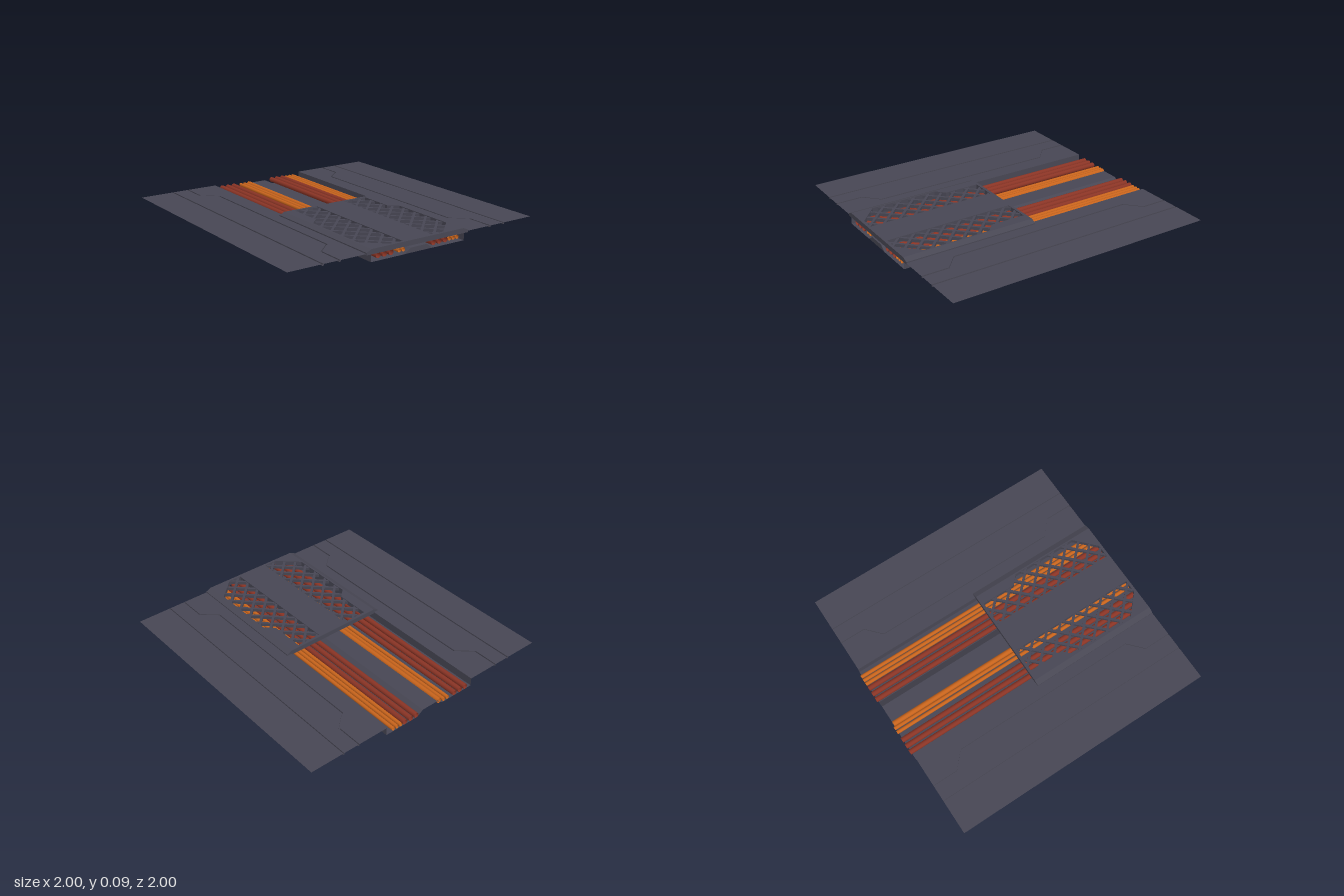
import * as THREE from 'three';

const PLATE_Y = 0.06, FLOOR_X = 0.385, COVER_TOP = 0.085;

// Skins a list of equally long point rows into a flat-faceted sheet
function loft(rows) {
  const pos = [];
  for (let j = 0; j < rows.length - 1; j++) {
    for (let i = 0; i < rows[j].length - 1; i++) {
      const a = rows[j][i], b = rows[j][i + 1], c = rows[j + 1][i], d = rows[j + 1][i + 1];
      pos.push(...a, ...c, ...b, ...b, ...c, ...d);
    }
  }
  const geo = new THREE.BufferGeometry();
  geo.setAttribute('position', new THREE.Float32BufferAttribute(pos, 3));
  geo.computeVertexNormals();
  return geo;
}

// Floor cross-section at z: centre ridge, sunken channel, plate with two grooves
function floorRow(z, grooveX, depth) {
  const half = [[0.065, 0.035], [0.115, 0], [FLOOR_X, 0], [FLOOR_X, PLATE_Y]];
  for (const g of [grooveX, 0.745]) {
    half.push([g - 0.006, PLATE_Y], [g - 0.006, PLATE_Y - depth],
      [g + 0.006, PLATE_Y - depth], [g + 0.006, PLATE_Y]);
  }
  half.push([1, PLATE_Y]);
  const left = half.map(([x, y]) => [x, y, z]);
  const right = half.map(([x, y]) => [-x, y, z]).reverse();
  return [...right, ...left];
}

// Window outline in the cover; s is the side (+1 or -1)
function windowPoints(s) {
  return [[0.12, 0.02], [0.305, 0.02], [0.305, 0.28], [0.37, 0.34], [0.37, 0.84], [0.22, 0.98], [0.12, 0.98]]
    .map(([x, z]) => new THREE.Vector2(s * x, -z));
}

export function createModel() {
  const model = new THREE.Group();
  const grey = new THREE.MeshStandardMaterial({ color: 0x474653, side: THREE.DoubleSide });
  grey.name = 'slate grey';
  const red = new THREE.MeshStandardMaterial({ color: 0x8a3425, side: THREE.DoubleSide });
  red.name = 'rust red';
  const orange = new THREE.MeshStandardMaterial({ color: 0xc8641c, side: THREE.DoubleSide });
  orange.name = 'orange';

  const add = (name, geo, mat, parent = model) => {
    const mesh = new THREE.Mesh(geo, mat);
    mesh.name = name;
    parent.add(mesh);
    return mesh;
  };

  // Floor sheet with channels and jogged grooves
  const stations = [
    [-0.99, 0.62, 0], [-0.99, 0.62, 0.01], [-0.8, 0.62, 0.01], [-0.7, 0.51, 0.01],
    [0.7, 0.51, 0.01], [0.8, 0.62, 0.01], [1, 0.62, 0.01], [1, 0.62, 0],
  ];
  add('floorPanel', loft(stations.map((s) => floorRow(...s))), grey);

  // Front end of the centre ridge
  const ridge = new THREE.Shape([[-0.115, 0], [0.115, 0], [0.065, 0.035], [-0.065, 0.035]]
    .map((p) => new THREE.Vector2(...p)));
  add('ridgeEnd', new THREE.ShapeGeometry(ridge), grey).position.z = 0.999;

  // Open pipes lying in the channels: x, radius, front end, back end
  const pipes = new THREE.Group();
  pipes.name = 'pipes';
  model.add(pipes);
  const pipe = (name, mat, x, r, front = 0.99, back = -1) => {
    const geo = new THREE.CylinderGeometry(r, r, front - back, 10, 1, true);
    geo.rotateX(Math.PI / 2);
    add(name, geo, mat, pipes).position.set(x, 0.03, (front + back) / 2);
  };
  for (const x of [-0.32, -0.27, -0.218, 0.132, 0.181, 0.232]) pipe('redPipe', red, x, 0.019);
  for (const x of [-0.152, -0.118, 0.27, 0.302, 0.334]) pipe('orangePipe', orange, x, 0.0135);
  pipe('innerOrangePipe', orange, -0.084, 0.019, 0.57, -0.99);

  // Raised cover with two windows and chamfered sides
  const outline = new THREE.Shape([[-0.42, -1], [0.42, -1], [0.42, 0], [-0.42, 0]]
    .map((p) => new THREE.Vector2(...p)));
  for (const s of [-1, 1]) outline.holes.push(new THREE.Path(windowPoints(s)));
  const cover = new THREE.ExtrudeGeometry(outline, { depth: COVER_TOP - 0.05, steps: 2, bevelEnabled: false });
  cover.rotateX(-Math.PI / 2).translate(0, 0.05, 0);
  const p = cover.attributes.position;
  for (let i = 0; i < p.count; i++) {
    if (Math.abs(p.getX(i)) > 0.41 && p.getY(i) > 0.08) p.setX(i, Math.sign(p.getX(i)) * 0.38);
  }
  cover.computeVertexNormals();
  add('cover', cover, grey);

  // Diagonal grating in each window, its bar ends buried in the cover
  const x0 = 0.11, x1 = 0.375, z0 = 0.01, z1 = 0.99;
  for (const s of [-1, 1]) {
    const grating = new THREE.Group();
    grating.name = s > 0 ? 'leftGrating' : 'rightGrating';
    model.add(grating);
    for (const slope of [-1, 1]) {
      for (let k = -4; k < 13; k++) {
        // Bar along z = c + slope * (x - x0), clipped to the window area
        const c = k * 0.12 + 0.05;
        const ends = [z0, z1].map((z) => x0 + (z - c) * slope).sort((a, b) => a - b);
        const a = Math.max(x0, ends[0]), b = Math.min(x1, ends[1]);
        if (b - a < 0.02) continue;
        const mid = (a + b) / 2;
        const bar = add('gratingBar', new THREE.BoxGeometry((b - a) * Math.SQRT2, 0.022, 0.018), grey, grating);
        bar.position.set(s * mid, 0.069, c + slope * (mid - x0));
        bar.rotation.y = -s * slope * Math.PI / 4;
      }
    }
  }
  return model;
}
